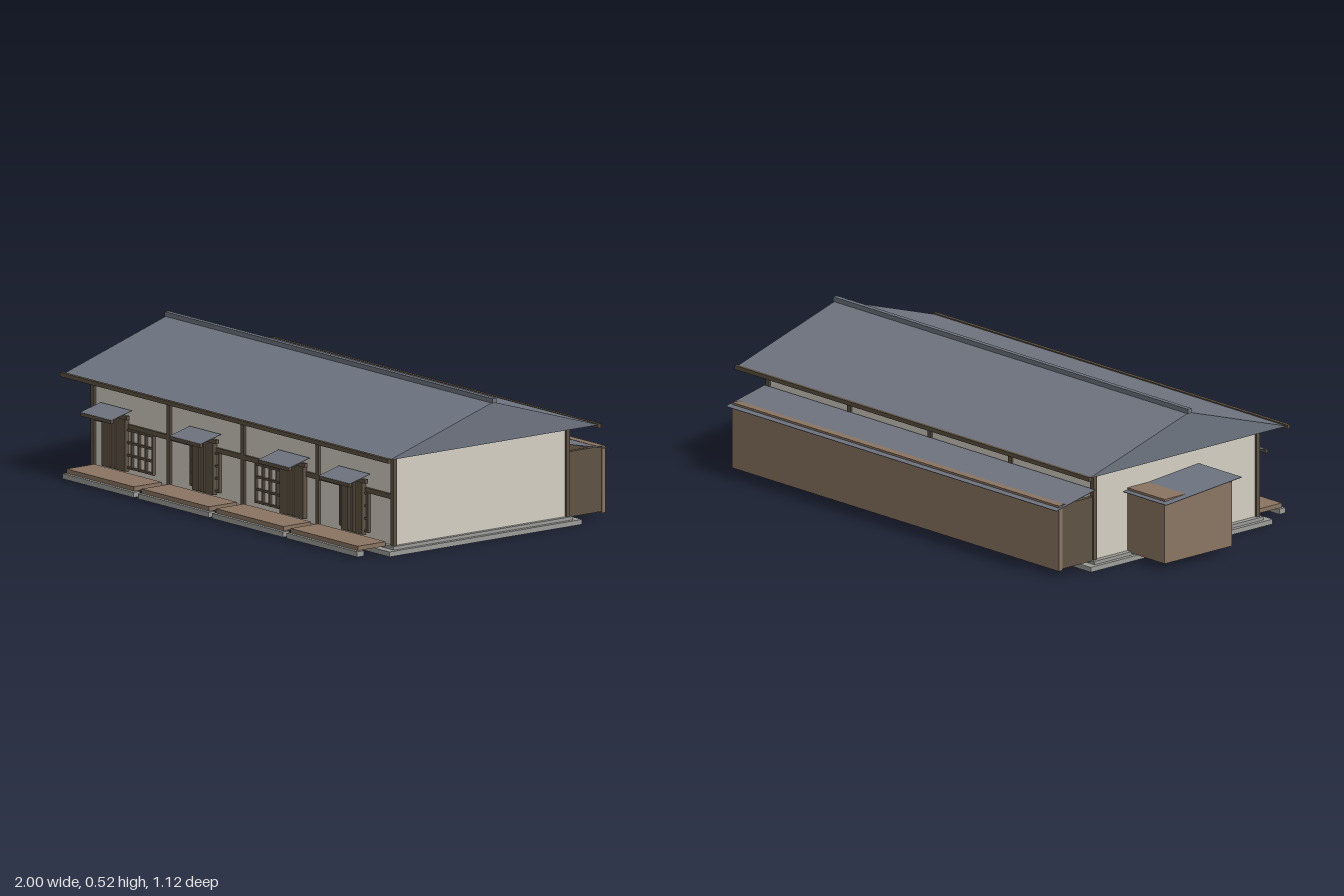
import * as THREE from 'three';

const mat = (name, color) => {
  const m = new THREE.MeshStandardMaterial({ color, side: THREE.DoubleSide });
  m.name = name;
  return m;
};

export function createModel() {
  const plaster = mat('plaster', 0xd4cfc4);
  const paper = mat('paper', 0xdedace);
  const slate = mat('slate', 0x6e7480);
  const wood = mat('wood', 0x8a7462);
  const darkWood = mat('darkWood', 0x5e5243);
  const stone = mat('stone', 0x9c9c99);

  const house = new THREE.Group();
  house.name = 'house';

  // box given by its extents on each axis
  const box = (name, m, x0, x1, y0, y1, z0, z1, parent = house) => {
    const mesh = new THREE.Mesh(new THREE.BoxGeometry(x1 - x0, y1 - y0, z1 - z0), m);
    mesh.position.set((x0 + x1) / 2, (y0 + y1) / 2, (z0 + z1) / 2);
    mesh.name = name;
    parent.add(mesh);
    return mesh;
  };

  // thin sloping roof sheet, high at one z and low at the other
  const sheet = (name, x0, x1, zHigh, yHigh, zLow, yLow, parent = house) => {
    const length = Math.hypot(zLow - zHigh, yLow - yHigh);
    const mesh = new THREE.Mesh(new THREE.BoxGeometry(x1 - x0, 0.002, length), slate);
    mesh.position.set((x0 + x1) / 2, (yHigh + yLow) / 2, (zHigh + zLow) / 2);
    mesh.rotation.x = Math.atan2(yHigh - yLow, zLow - zHigh);
    if (zLow < zHigh) mesh.rotation.x = -Math.atan2(yHigh - yLow, zHigh - zLow);
    mesh.name = name;
    parent.add(mesh);
  };

  // foundation and walls
  box('foundation', stone, -0.81, 0.945, 0, 0.018, -0.415, 0.45);
  box('plinth', stone, -0.795, 0.93, 0.018, 0.03, -0.385, 0.42);
  box('walls', plaster, -0.775, 0.915, 0.03, 0.36, -0.37, 0.405);

  // posts and rails of the timber frame
  const postX = [-0.774, -0.346, 0.071, 0.491, 0.914];
  for (const x of postX) {
    box('frontPost', darkWood, x - 0.009, x + 0.009, 0.03, 0.36, 0.398, 0.414);
    box('backPost', darkWood, x - 0.009, x + 0.009, 0.03, 0.36, -0.377, -0.362);
  }
  box('middleRail', darkWood, -0.774, 0.914, 0.196, 0.214, 0.4, 0.413);
  box('topRail', darkWood, -0.774, 0.914, 0.342, 0.36, 0.4, 0.418);

  // main roof: closed gable prism
  const gable = new THREE.Shape();
  gable.moveTo(-0.485, 0.36);
  gable.lineTo(0.455, 0.36);
  gable.lineTo(-0.02, 0.506);
  gable.closePath();
  const roofGeometry = new THREE.ExtrudeGeometry(gable, { depth: 1.835, bevelEnabled: false });
  roofGeometry.rotateY(Math.PI / 2);
  const roof = new THREE.Mesh(roofGeometry, slate);
  roof.position.x = -0.845;
  roof.name = 'mainRoof';
  house.add(roof);
  box('ridge', slate, -0.85, 0.995, 0.503, 0.52, 0.01, 0.028);
  box('frontEaveBeam', darkWood, -0.85, 0.995, 0.35, 0.365, 0.483, 0.497);
  box('backEaveBeam', darkWood, -0.85, 0.995, 0.35, 0.365, -0.46, -0.447);

  // four bays: door, lattice window, canopy, deck and step
  const bays = [
    { door: -0.64, window: -0.51, deck: -0.558 },
    { door: -0.138, window: -0.138, deck: -0.135 },
    { door: 0.362, window: 0.228, deck: 0.283 },
    { door: 0.702, window: 0.702, deck: 0.702 },
  ];
  for (const { door, window: win, deck } of bays) {
    const bay = new THREE.Group();
    bay.name = 'bay';
    house.add(bay);

    // window with lattice bars
    box('windowPaper', paper, win - 0.08, win + 0.08, 0.055, 0.198, 0.406, 0.409, bay);
    for (let i = 0; i < 5; i++) {
      const x = win - 0.078 + i * 0.039;
      box('windowBar', darkWood, x - 0.004, x + 0.004, 0.055, 0.198, 0.406, 0.418, bay);
    }
    for (let i = 0; i < 4; i++) {
      const y = 0.059 + i * 0.045;
      box('windowCrossbar', darkWood, win - 0.08, win + 0.08, y - 0.004, y + 0.004, 0.406, 0.416, bay);
    }

    // slatted door
    const half = door === win ? 0.059 : 0.066;
    box('door', darkWood, door - half, door + half, 0.045, 0.235, 0.408, 0.426, bay);
    for (const dx of [-0.014, 0.014]) {
      box('doorSlat', wood, door + dx - 0.004, door + dx + 0.004, 0.05, 0.23, 0.425, 0.43, bay);
    }

    // canopy sheet with rails
    sheet('canopy', door - 0.088, door + 0.088, 0.413, 0.266, 0.504, 0.243, bay);
    box('canopyFrontRail', darkWood, door - 0.085, door + 0.085, 0.231, 0.243, 0.494, 0.506, bay);
    box('canopyBackRail', darkWood, door - 0.085, door + 0.085, 0.234, 0.248, 0.42, 0.434, bay);

    // deck and stone step
    box('deck', wood, deck - 0.19, deck + 0.19, 0.027, 0.043, 0.425, 0.55, bay);
    box('step', stone, deck - 0.199, deck + 0.199, 0.007, 0.026, 0.53, 0.56, bay);
  }

  // open-bottomed lean-to along the back
  box('leanToWall', wood, -0.78, 0.92, 0.022, 0.262, -0.54, -0.523);
  for (const x of [-0.77, 0.91]) {
    box('leanToSide', darkWood, x - 0.008, x + 0.008, 0.027, 0.262, -0.525, -0.375);
  }
  for (const x of postX.slice(1, 4)) {
    box('leanToPartition', wood, x - 0.006, x + 0.006, 0.027, 0.25, -0.525, -0.375);
  }
  box('leanToWallPlate', wood, -0.77, 0.91, 0.245, 0.262, -0.524, -0.51);
  sheet('leanToRoof', -0.79, 0.93, -0.375, 0.289, -0.56, 0.249);

  // side annex with its own sloping roof
  box('annex', wood, -0.97, -0.776, 0.025, 0.261, -0.21, 0.11);
  sheet('annexRoof', -1, -0.776, 0.13, 0.28, -0.23, 0.25);

  return house;
}
